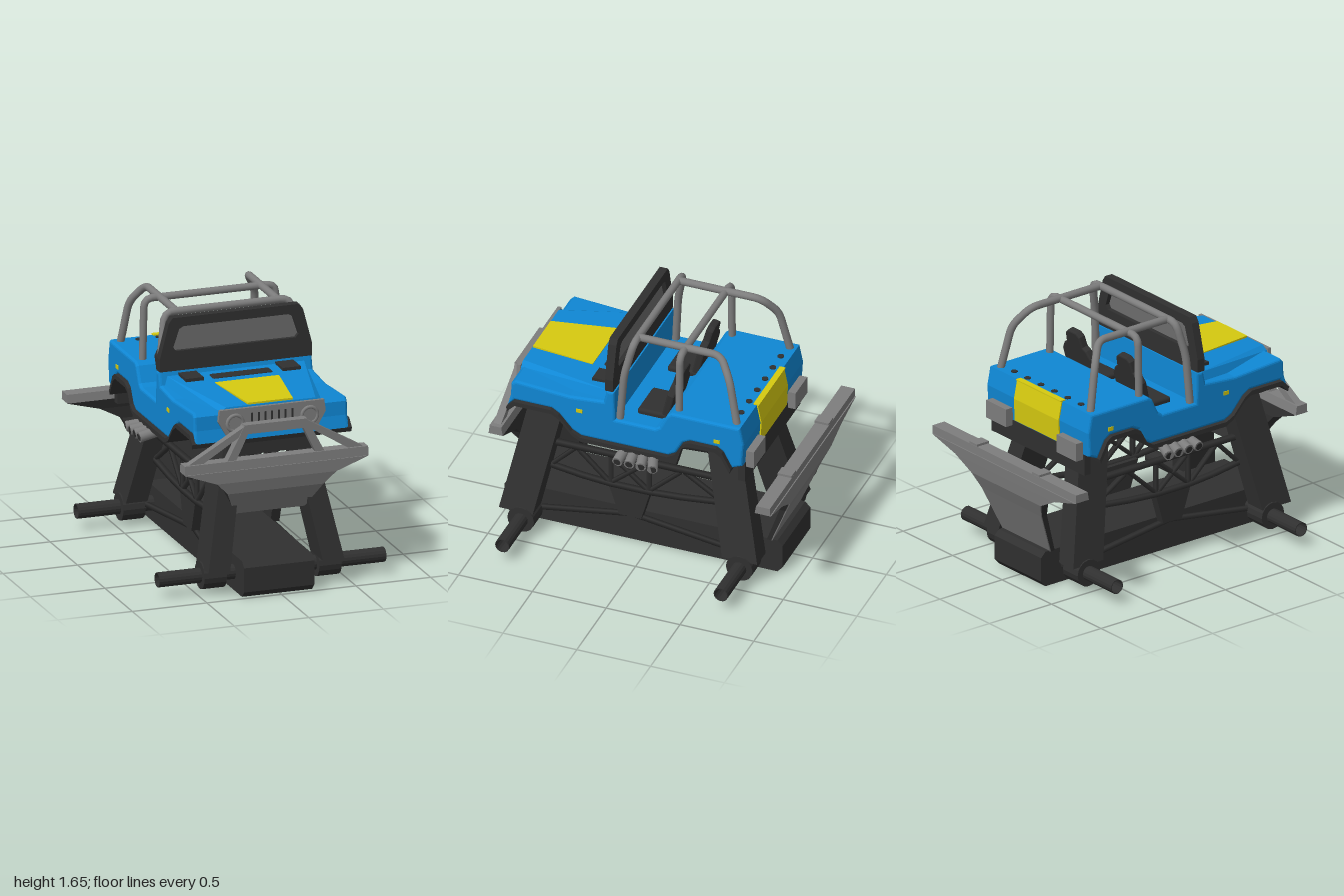
import * as THREE from 'three';
import { ConvexGeometry } from 'three/addons/geometries/ConvexGeometry.js';
import { RoundedBoxGeometry } from 'three/addons/geometries/RoundedBoxGeometry.js';

const V = (x, y, z) => new THREE.Vector3(x, y, z);
const mat = (name, color) => {
  const m = new THREE.MeshStandardMaterial({ color });
  m.name = name;
  return m;
};

export function createModel() {
  const model = new THREE.Group();
  model.name = 'offRoadTruck';
  const truck = new THREE.Group();
  truck.name = 'truck';
  truck.position.x = -0.015;
  model.add(truck);

  const blue = mat('bodyBlue', 0x0f87d4), yellow = mat('panelYellow', 0xd6ca10);
  const grey = mat('metalGrey', 0x7d7d7d), black = mat('frameBlack', 0x303030);
  const glass = mat('windowGrey', 0x6c6c6c);
  glass.side = THREE.DoubleSide;

  const add = (name, geo, m, parent = truck) => {
    const mesh = new THREE.Mesh(geo, m);
    mesh.name = name;
    parent.add(mesh);
    return mesh;
  };
  const box = (name, m, w, h, d, x, y, z) => {
    const b = add(name, new THREE.BoxGeometry(w, h, d), m);
    b.position.set(x, y, z);
    return b;
  };
  const hull = (name, pts, m) => add(name, new ConvexGeometry(pts.map(p => V(...p))), m);
  const outline = pts => new THREE.Shape(pts.map(p => new THREE.Vector2(...p)));
  // Extrudes a [z, y] side profile across the width, centred on x
  const across = (name, shape, half, m, bevel = 0, x = 0) => {
    const g = new THREE.ExtrudeGeometry(shape, {
      depth: 2 * (half - bevel), bevelEnabled: bevel > 0, bevelSize: bevel,
      bevelThickness: bevel, bevelOffset: -bevel, bevelSegments: 3, curveSegments: 8,
    });
    g.translate(0, 0, -(half - bevel)).rotateY(-Math.PI / 2).translate(x, 0, 0);
    return add(name, g, m);
  };
  // Straight bar between two points; four sides give a square bar
  const bar = (name, a, b, r, m, sides = 4) => {
    const p = V(...a), q = V(...b), d = q.clone().sub(p);
    const g = new THREE.CylinderGeometry(r, r, d.length(), sides);
    if (sides === 4) g.rotateY(Math.PI / 4);
    const mesh = add(name, g, m);
    mesh.position.copy(p).add(q).multiplyScalar(0.5);
    mesh.quaternion.setFromUnitVectors(V(0, 1, 0), d.normalize());
    return mesh;
  };
  const ring = (z, r, ri) => {
    const s = new THREE.Shape().absarc(z, 0.12, r, 0, Math.PI * 2);
    s.holes.push(new THREE.Path().absarc(z, 0.12, ri, 0, Math.PI * 2, true));
    return s;
  };
  // Tube through points with tightly rounded corners
  const tube = (name, pts, r, m) => {
    const p = pts.map(q => V(...q)), path = new THREE.CurvePath();
    let last = p[0];
    for (let i = 1; i < p.length - 1; i++) {
      const a = p[i].clone().add(p[i - 1].clone().sub(p[i]).setLength(0.06));
      const b = p[i].clone().add(p[i + 1].clone().sub(p[i]).setLength(0.06));
      path.add(new THREE.LineCurve3(last, a));
      path.add(new THREE.QuadraticBezierCurve3(a, p[i], b));
      last = b;
    }
    path.add(new THREE.LineCurve3(last, p[p.length - 1]));
    add(name, new THREE.TubeGeometry(path, 60, r, 12), m);
  };

  // Lower chassis, open where the axles pass through
  const axleZ = [0.8, -0.68];
  const sled = outline([[1, 0.04], [0.96, 0], [-0.85, 0], [-0.885, 0.04], [-0.885, 0.2], [-0.85, 0.235], [0.96, 0.235], [1, 0.2]]);
  axleZ.forEach(z => sled.holes.push(new THREE.Path().absarc(z, 0.12, 0.048, 0, Math.PI * 2)));
  across('chassis', sled, 0.235, black);
  axleZ.forEach(z => across('axle', ring(z, 0.048, 0.043), 0.76, black, 0, 0.015));

  for (const s of [-1, 1]) {
    // Hubs, leaning legs and the truss between them
    axleZ.forEach(z => across('hub', ring(z, 0.09, 0.046), 0.075, black, 0, s * 0.385));
    for (const [z0, z1, t0, t1] of [[0.95, 0.72, 0.78, 0.55], [-0.56, -0.8, -0.37, -0.6]]) {
      hull('leg', [z0, z1].flatMap(z => [[s * 0.31, 0.175, z], [s * 0.455, 0.175, z]])
        .concat([t0, t1].flatMap(z => [[s * 0.15, 1.05, z], [s * 0.28, 1.05, z]])), black);
    }
    const x = s * 0.28;
    const strut = (z0, y0, z1, y1, r = 0.018) => bar('trussBar', [x, y0, z0], [x, y1, z1], r, black);
    strut(0.64, 0.645, -0.52, 0.645, 0.024);
    const low = [[0.7, 0.47], [0.45, 0.435], [0.26, 0.42], [0, 0.42], [-0.22, 0.435], [-0.52, 0.47]];
    for (let i = 1; i < low.length; i++) strut(...low[i - 1], ...low[i], 0.022);
    [[0.66, 0.47, 0.49, 0.64], [0.49, 0.64, 0.27, 0.43], [0.26, 0.42, 0.26, 0.64], [0.26, 0.43, 0.01, 0.64],
      [0.26, 0.64, 0.01, 0.43], [0, 0.42, 0, 0.64], [0, 0.43, -0.23, 0.64], [-0.23, 0.64, -0.5, 0.47]].forEach(p => strut(...p));
    across('trussPedestal', outline([[0.27, 0.42], [0.2, 0.21], [0.05, 0.21], [-0.01, 0.42]]), 0.03, black, 0, s * 0.265);
    bar('frontLink', [s * 0.3, 0.14, 0.72], [s * 0.25, 0.205, 0.13], 0.02, black);
    bar('rearLink', [s * 0.3, 0.14, -0.6], [s * 0.25, 0.205, 0.13], 0.02, black);
  }

  // Body tub with wheel arches and a door cut, and its dark lower lining
  const under = [[0.87, 1.01], [0.82, 1.06], [0.57, 1.06], [0.52, 1.03], [0.43, 0.93], [0.37, 0.9], [-0.22, 0.9],
    [-0.27, 0.93], [-0.32, 1.02], [-0.37, 1.045], [-0.55, 1.045], [-0.59, 1.02], [-0.65, 0.91]];
  across('bodyTub', outline([...under, [-0.72, 0.94], [-0.73, 1.1], [-0.705, 1.222], [-0.24, 1.222], [-0.21, 1.2],
    [-0.16, 1.1], [-0.13, 1.08], [0.14, 1.08], [0.145, 1.285], [0.2, 1.285], [0.22, 1.2], [0.45, 1.18], [0.82, 1.205],
    [0.845, 1.18], [0.85, 1.09]]), 0.515, blue, 0.018);
  across('lowerLining', outline([...under, ...under.map(([z, y]) => [z - 0.008 * Math.sign(z), y - 0.03]).reverse()]), 0.535, black);

  // Tapered hood, its panel, vent and hinges
  hull('hood', [-1, 1].flatMap(s => [[s * 0.5, 1.16, 0.2], [s * 0.46, 1.255, 0.2], [s * 0.36, 1.15, 0.845],
    [s * 0.3, 1.225, 0.845], [s * 0.34, 1.2, 0.85]]), blue);
  hull('hoodPanel', [-1, 1].flatMap(s => [0, 0.012].flatMap(h => [[s * 0.215, 1.238 + h, 0.41], [s * 0.15, 1.226 + h, 0.84]])), yellow);
  add('hoodVent', new RoundedBoxGeometry(0.4, 0.02, 0.08, 3, 0.009), black).position.set(0, 1.248, 0.3);
  for (const s of [-1, 1]) box('hoodHinge', black, 0.12, 0.025, 0.14, s * 0.325, 1.257, 0.275);

  // Grille, headlights and front cross member
  const grille = add('grille', new THREE.ExtrudeGeometry(outline([[-0.31, 1.05], [0.31, 1.05], [0.36, 1.14], [0.35, 1.215],
    [-0.35, 1.215], [-0.36, 1.14]]), { depth: 0.025, bevelEnabled: false }), grey);
  grille.position.z = 0.845;
  for (let i = -3; i <= 3; i++) box('grilleSlot', black, 0.012, 0.1, 0.006, i * 0.045, 1.13, 0.871);
  for (const s of [-1, 1]) {
    add('headlightRim', new THREE.TorusGeometry(0.052, 0.012, 8, 20), grey).position.set(s * 0.25, 1.125, 0.875);
    const lamp = add('headlight', new THREE.CylinderGeometry(0.048, 0.048, 0.02, 20).rotateX(Math.PI / 2), grey);
    lamp.position.set(s * 0.25, 1.125, 0.87);
  }
  box('frontCrossMember', black, 0.6, 0.15, 0.05, 0, 0.975, 0.825);

  // Windscreen
  const frame = outline([[-0.51, 1.285], [0.51, 1.285], [0.51, 1.37], [0.45, 1.6], [0.425, 1.635], [-0.425, 1.635], [-0.45, 1.6], [-0.51, 1.37]]);
  const pane = [[-0.4, 1.415], [-0.42, 1.44], [-0.38, 1.56], [-0.35, 1.575], [0.35, 1.575], [0.38, 1.56], [0.42, 1.44], [0.4, 1.415]];
  frame.holes.push(outline(pane));
  add('windscreenFrame', new THREE.ExtrudeGeometry(frame, { depth: 0.055, bevelEnabled: false }), black).position.z = 0.155;
  add('windscreenGlass', new THREE.ShapeGeometry(outline(pane)), glass).position.z = 0.185;

  // Seats
  const back = outline([[-0.13, 0], [0.13, 0], [0.14, 0.18], [0.11, 0.23], [0.08, 0.25], [0.07, 0.32], [0.04, 0.345],
    [-0.04, 0.345], [-0.07, 0.32], [-0.08, 0.25], [-0.11, 0.23], [-0.14, 0.18]]);
  for (const s of [-1, 1]) {
    add('seatCushion', new RoundedBoxGeometry(0.27, 0.06, 0.24, 3, 0.02), black).position.set(s * 0.255, 1.085, -0.08);
    const b = add('seatBack', new THREE.ExtrudeGeometry(back, { depth: 0.03, bevelSize: 0.01, bevelThickness: 0.01, bevelOffset: -0.01, bevelSegments: 2 }), black);
    b.position.set(s * 0.255, 1.085, -0.16);
    b.rotation.x = -0.24;
  }

  // Roll cage
  tube('frontHoop', [[-0.475, 1.08, 0.12], [-0.46, 1.4, 0.1], [-0.42, 1.625, 0.05], [0.42, 1.625, 0.05], [0.46, 1.4, 0.1], [0.475, 1.08, 0.12]], 0.025, grey);
  tube('middleHoop', [[-0.45, 1.2, -0.27], [-0.44, 1.62, -0.27], [0.44, 1.62, -0.27], [0.45, 1.2, -0.27]], 0.024, grey);
  for (const s of [-1, 1]) {
    tube('cageRail', [[s * 0.34, 1.625, 0.05], [s * 0.34, 1.625, -0.51], [s * 0.42, 1.5, -0.6], [s * 0.455, 1.2, -0.665]], 0.025, grey);
  }

  // Bed studs, tailgate panel, rear lamps and rear beam
  for (let i = 0; i < 6; i++) {
    add('bedStud', new THREE.CylinderGeometry(0.022, 0.022, 0.008, 8), black).position.set((i - 2.5) * 0.135, 1.224, -0.645);
  }
  box('tailgatePanelTop', yellow, 0.45, 0.008, 0.04, 0, 1.225, -0.702);
  hull('tailgatePanelUpper', [-0.225, 0.225].flatMap(x => [[x, 1.226, -0.7], [x, 1.226, -0.712], [x, 1.1, -0.73], [x, 1.1, -0.738]]), yellow);
  hull('tailgatePanelLower', [-0.225, 0.225].flatMap(x => [[x, 1.1, -0.725], [x, 1.1, -0.738], [x, 0.95, -0.715], [x, 0.95, -0.732]]), yellow);
  box('rearBeam', black, 0.94, 0.14, 0.05, 0, 0.87, -0.7);
  for (const s of [-1, 1]) {
    box('rearLamp', grey, 0.2, 0.12, 0.055, s * 0.355, 0.965, -0.75);
    for (const z of [0.38, -0.55]) box('sideMarker', yellow, 0.008, 0.025, 0.042, s * 0.516, 1.09, z);
    // Side exhausts fanning out below the sill
    for (let i = 0; i < 4; i++) {
      const z = 0.09 - i * 0.08;
      bar('exhaustPipe', [s * 0.3, 0.89, z * 0.5 + 0.03], [s * 0.605, 0.83, z], 0.034, grey, 12);
      const tip = bar('exhaustOpening', [s * 0.6, 0.831, z], [s * 0.608, 0.829, z], 0.024, black, 12);
      tip.scale.setScalar(1);
    }
    box('exhaustManifold', black, 0.2, 0.05, 0.3, s * 0.36, 0.865, 0.02);
  }

  // Skid bumpers: rows of [y, inner z, outer z, half width]
  const bumper = (name, rows) => rows.slice(1).forEach((b, i) => {
    const a = rows[i], pair = [a, b];
    const slab = (f, g) => pair.flatMap(r => [-1, 1].flatMap(s => [[s * r[3], r[0], f(r)], [s * r[3], r[0], g(r)]]));
    hull(name, slab(r => r[1], r => r[2]), i ? black : grey);
    if (i) hull(name + 'Face', slab(r => r[2], r => r[2] + 0.007 * Math.sign(r[2])), grey);
  });
  bumper('frontBumper', [[0.9, 0.87, 0.95, 0.615], [0.84, 0.86, 0.953, 0.615], [0.76, 0.85, 0.95, 0.4], [0.68, 0.85, 0.93, 0.32], [0.51, 0.77, 0.82, 0.235]]);
  bumper('rearBumper', [[0.82, -0.9, -0.993, 0.725], [0.765, -0.89, -0.993, 0.725], [0.7, -0.91, -0.985, 0.5],
    [0.62, -0.92, -0.975, 0.35], [0.52, -0.89, -0.93, 0.3], [0.23, -0.78, -0.81, 0.24]]);
  // Front guard hoop and rear bumper lugs
  box('guardTop', grey, 0.42, 0.06, 0.06, 0, 1.095, 0.91);
  for (const s of [-1, 1]) {
    hull('guardPost', [0.88, 0.94].flatMap(z => [[s * 0.16, 1.12, z], [s * 0.21, 1.12, z], [s * 0.27, 0.89, z], [s * 0.33, 0.89, z]]), grey);
    hull('guardBrace', [0.885, 0.935].flatMap(z => [[s * 0.2, 1.12, z], [s * 0.21, 1.07, z], [s * 0.5, 0.89, z], [s * 0.6, 0.89, z]]), grey);
    box('bumperLug', grey, 0.075, 0.03, 0.095, s * 0.315, 0.82, -0.945);
  }
  return model;
}
